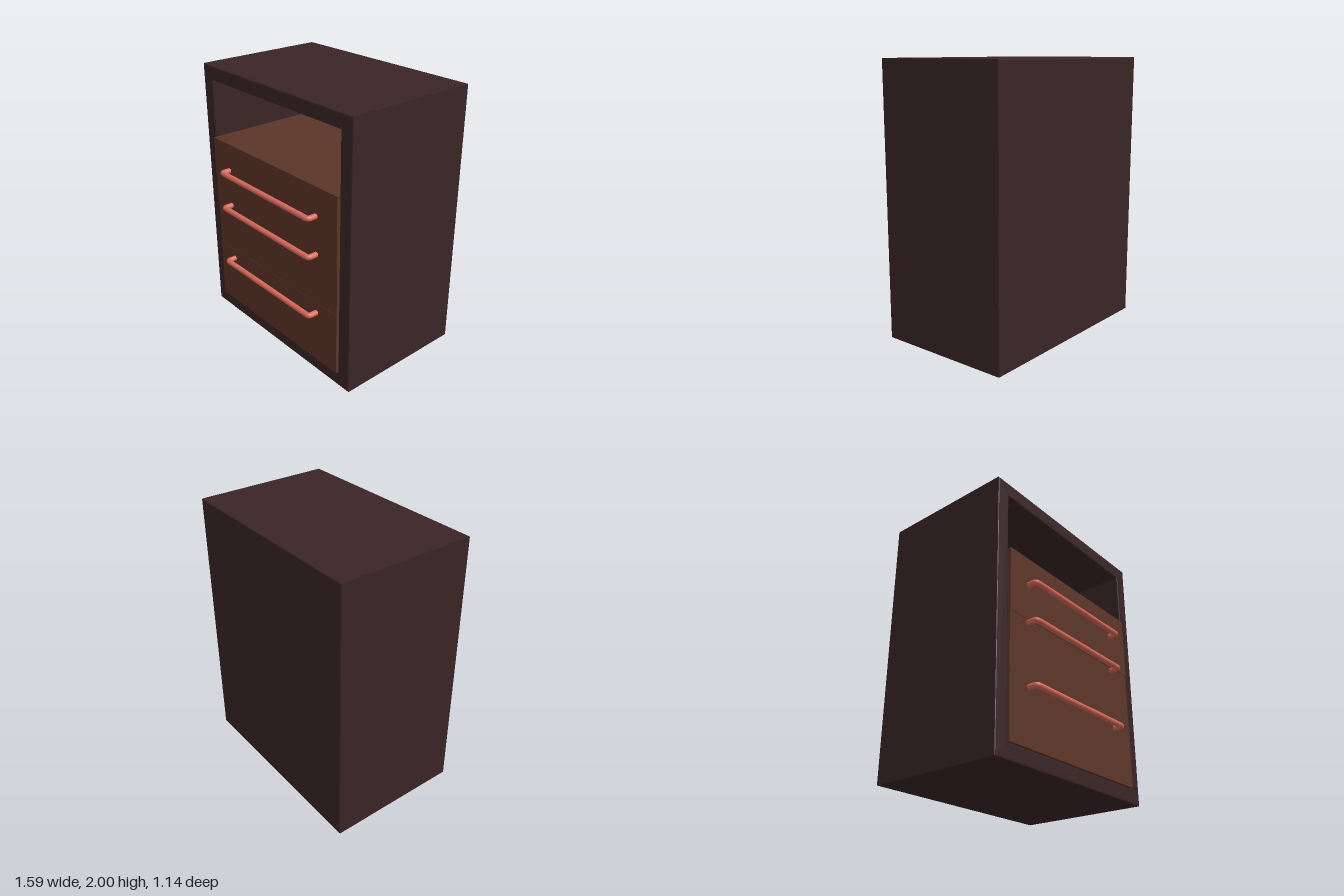
import * as THREE from 'three';

const darkWood = new THREE.MeshStandardMaterial({ color: 0x3a2526 });
const drawerWood = new THREE.MeshStandardMaterial({ color: 0x5c3528 });
const copper = new THREE.MeshStandardMaterial({ color: 0xd9695a });

const HALF_W = 0.795, HEIGHT = 2, BACK = -0.57, FRONT = 0.46;
const OPEN_X = 0.69, OPEN_BOTTOM = 0.11, OPEN_TOP = 1.895, BEVEL = 0.007;

function addMesh(parent, name, geometry, material) {
  const mesh = new THREE.Mesh(geometry, material);
  mesh.name = name;
  parent.add(mesh);
  return mesh;
}

// Box given by its limits on each axis
function boxBetween(x0, x1, y0, y1, z0, z1) {
  return new THREE.BoxGeometry(x1 - x0, y1 - y0, z1 - z0)
    .translate((x0 + x1) / 2, (y0 + y1) / 2, (z0 + z1) / 2);
}

function rectangle(PathType, x, y0, y1) {
  return new PathType([
    new THREE.Vector2(-x, y0), new THREE.Vector2(x, y0),
    new THREE.Vector2(x, y1), new THREE.Vector2(-x, y1),
  ]);
}

// Bent bar with rounded corners, both ends sunk into the drawer front
function handleGeometry() {
  const x = 0.492, zIn = 0.45, zOut = 0.547, r = 0.022;
  const v = (a, b) => new THREE.Vector3(a, 0, b);
  const path = new THREE.CurvePath();
  path.add(new THREE.LineCurve3(v(-x, zIn), v(-x, zOut - r)));
  path.add(new THREE.QuadraticBezierCurve3(v(-x, zOut - r), v(-x, zOut), v(-x + r, zOut)));
  path.add(new THREE.LineCurve3(v(-x + r, zOut), v(x - r, zOut)));
  path.add(new THREE.QuadraticBezierCurve3(v(x - r, zOut), v(x, zOut), v(x, zOut - r)));
  path.add(new THREE.LineCurve3(v(x, zOut - r), v(x, zIn)));
  return new THREE.TubeGeometry(path, 200, 0.02, 16);
}

export function createModel() {
  const model = new THREE.Group();
  model.name = 'drawerCabinet';

  // Outer case with a front opening and softened edges
  const outline = rectangle(THREE.Shape, HALF_W, 0, HEIGHT);
  outline.holes.push(rectangle(THREE.Path, OPEN_X, OPEN_BOTTOM, OPEN_TOP));
  const caseGeometry = new THREE.ExtrudeGeometry(outline, {
    depth: FRONT - BACK - 2 * BEVEL,
    bevelSize: BEVEL, bevelThickness: BEVEL, bevelOffset: -BEVEL, bevelSegments: 2,
  }).translate(0, 0, BACK + BEVEL);
  addMesh(model, 'case', caseGeometry, darkWood);

  // Back panel closing the case
  addMesh(model, 'backPanel', boxBetween(-OPEN_X - BEVEL, OPEN_X + BEVEL,
    OPEN_BOTTOM - BEVEL, OPEN_TOP + BEVEL, BACK, -0.46), darkWood);

  // Three slightly overlapping drawers, each with its handle
  const handle = handleGeometry();
  const drawers = [
    { name: 'bottomDrawer', y0: 0.11, y1: 0.587, front: 0.479, handleY: 0.51 },
    { name: 'middleDrawer', y0: 0.542, y1: 1.04, front: 0.477, handleY: 0.97 },
    { name: 'topDrawer', y0: 0.993, y1: 1.465, front: 0.481, handleY: 1.255 },
  ];
  for (const d of drawers) {
    const drawer = new THREE.Group();
    drawer.name = d.name;
    addMesh(drawer, 'drawerBox', boxBetween(-OPEN_X + 0.002, OPEN_X - 0.002,
      d.y0, d.y1, -0.46, d.front), drawerWood);
    addMesh(drawer, 'handle', handle, copper).position.set(-0.011, d.handleY, 0);
    model.add(drawer);
  }
  return model;
}
